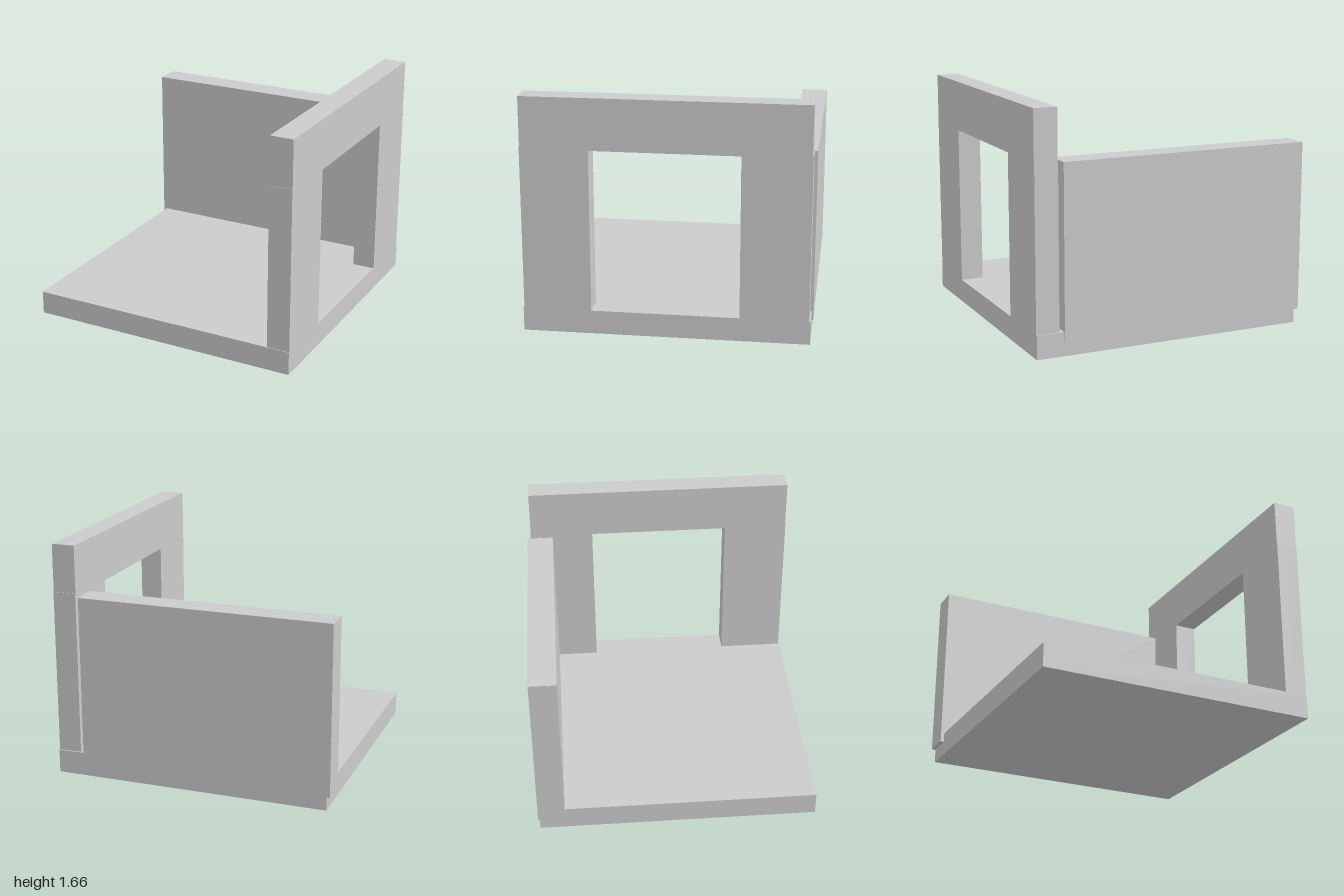
import * as THREE from 'three';

export function createModel() {
  const model = new THREE.Group();
  const material = new THREE.MeshStandardMaterial({ color: 0xcccccc, flatShading: true });

  // Adds a box spanning [min, max] on each axis
  function slab(name, [x0, x1], [y0, y1], [z0, z1], parent = model) {
    const mesh = new THREE.Mesh(new THREE.BoxGeometry(x1 - x0, y1 - y0, z1 - z0), material);
    mesh.position.set((x0 + x1) / 2, (y0 + y1) / 2, (z0 + z1) / 2);
    mesh.name = name;
    parent.add(mesh);
  }

  // Floor plate and the back wall that overlaps its edge
  slab('floor', [-0.975, 1], [0, 0.167], [-0.982, 0.993]);
  slab('backWall', [-1, 0.805], [0.1, 1.306], [-0.993, -0.803]);

  // Side wall with a doorway: two posts carrying a lintel
  const sideWall = new THREE.Group();
  sideWall.name = 'doorwayWall';
  model.add(sideWall);
  const thickness = [0.835, 1];
  slab('frontPost', thickness, [0.1, 1.325], [0.518, 0.987], sideWall);
  slab('backPost', thickness, [0.1, 1.325], [-0.972, -0.502], sideWall);
  slab('lintel', thickness, [1.304, 1.662], [-0.967, 0.984], sideWall);

  return model;
}
